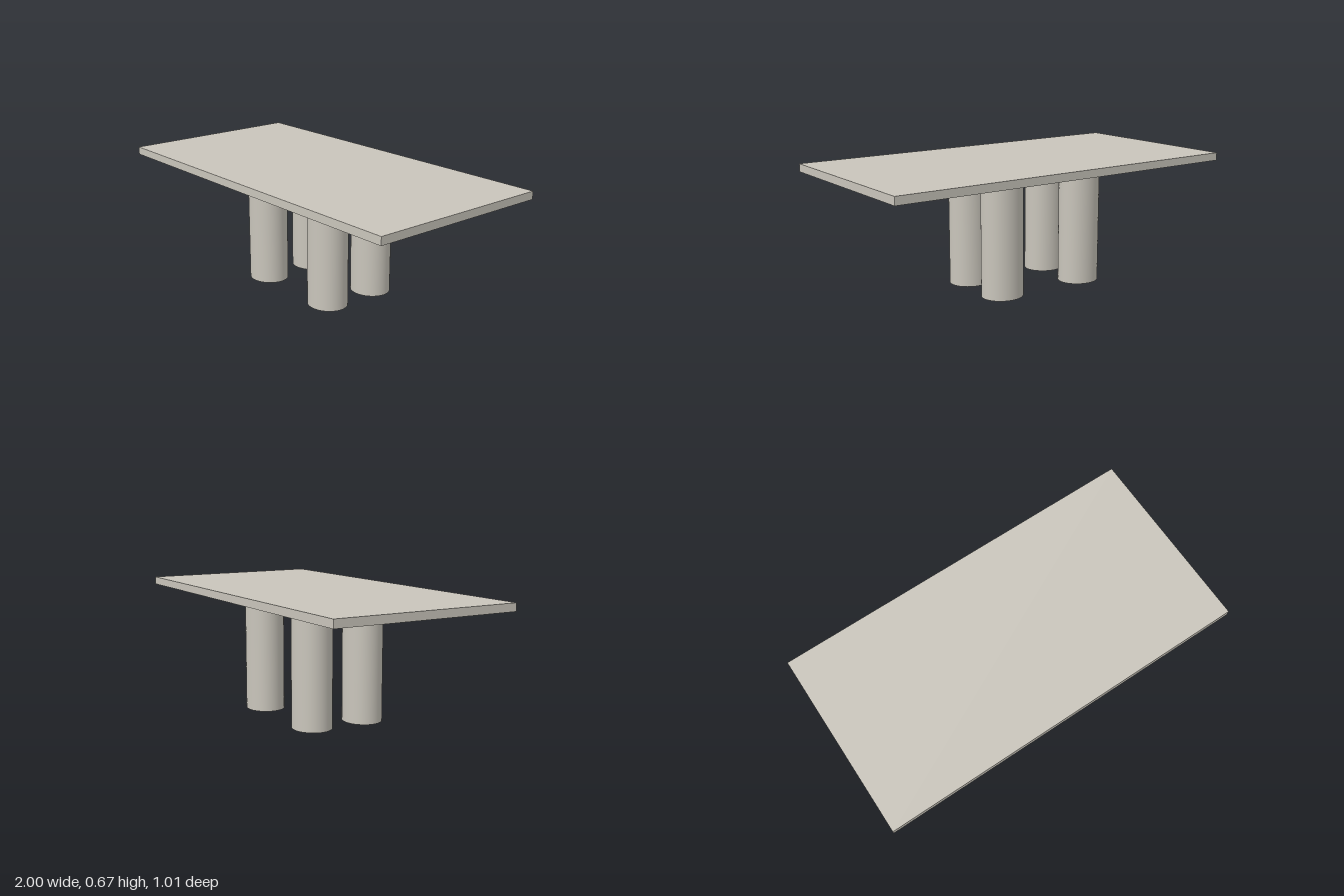
import * as THREE from 'three';

export function createModel() {
  const model = new THREE.Group();
  model.name = 'table';
  const stone = new THREE.MeshStandardMaterial({ color: 0xc9c5bb });
  stone.name = 'warm grey';

  const legHeight = 0.63;
  const topThickness = 0.042;

  // Flat rectangular slab
  const top = new THREE.Mesh(new THREE.BoxGeometry(2, topThickness, 1.01), stone);
  top.name = 'tableTop';
  top.position.y = legHeight + topThickness / 2;
  model.add(top);

  // Four thick, slightly oval legs, set a little off centre
  const legGeometry = new THREE.CylinderGeometry(1, 1, legHeight, 48);
  legGeometry.scale(0.112, 1, 0.102);
  for (const [side, x] of [['Right', -0.287], ['Left', 0.217]]) {
    for (const [end, z] of [['front', 0.122], ['back', -0.182]]) {
      const leg = new THREE.Mesh(legGeometry, stone);
      leg.name = `${end}${side}Leg`;
      leg.position.set(x, legHeight / 2, z);
      model.add(leg);
    }
  }
  return model;
}
